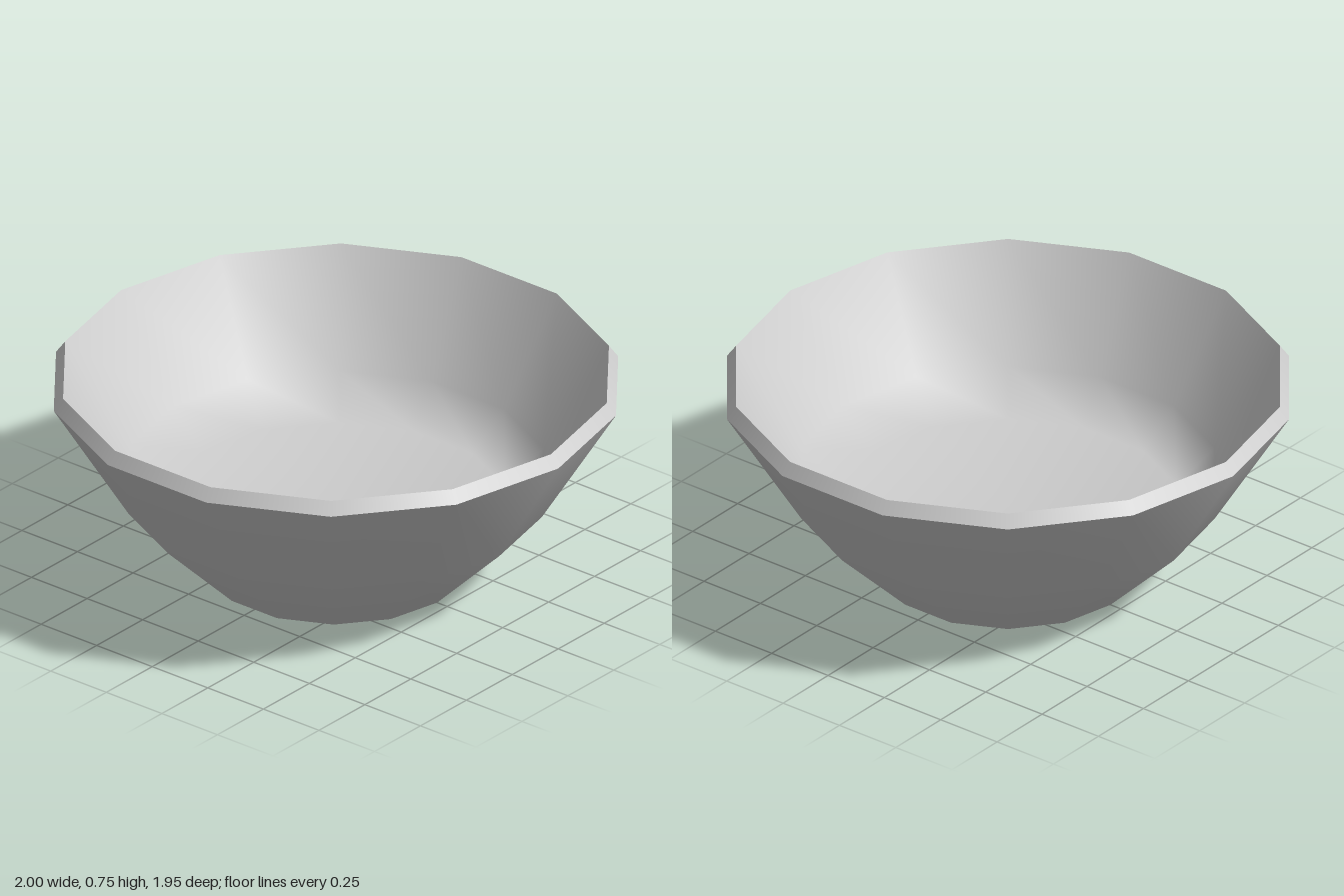
import * as THREE from 'three';

const SIDES = 14;

export function createModel() {
  const bowl = new THREE.Group();
  bowl.name = 'bowl';

  const clay = new THREE.MeshStandardMaterial({ color: 0xcccccc, side: THREE.DoubleSide });
  clay.name = 'plain grey';

  // Revolves [radius, height] points into a 14-sided ring with a corner on +x
  function addRing(name, profile) {
    const points = profile.map(([r, y]) => new THREE.Vector2(r, y));
    const mesh = new THREE.Mesh(new THREE.LatheGeometry(points, SIDES, Math.PI / 2), clay);
    mesh.name = name;
    bowl.add(mesh);
  }

  // Outer wall, open underneath
  addRing('outerWall', [[0.455, 0], [0.735, 0.275], [1, 0.705]]);

  // Bevelled lip
  addRing('rim', [[1, 0.705], [0.967, 0.75]]);

  // Inner wall parallel to the outer one, running smoothly into the raised floor
  addRing('innerBowl', [[0.967, 0.75], [0.735, 0.373], [0.6, 0.24], [0, 0.24]]);

  return bowl;
}
